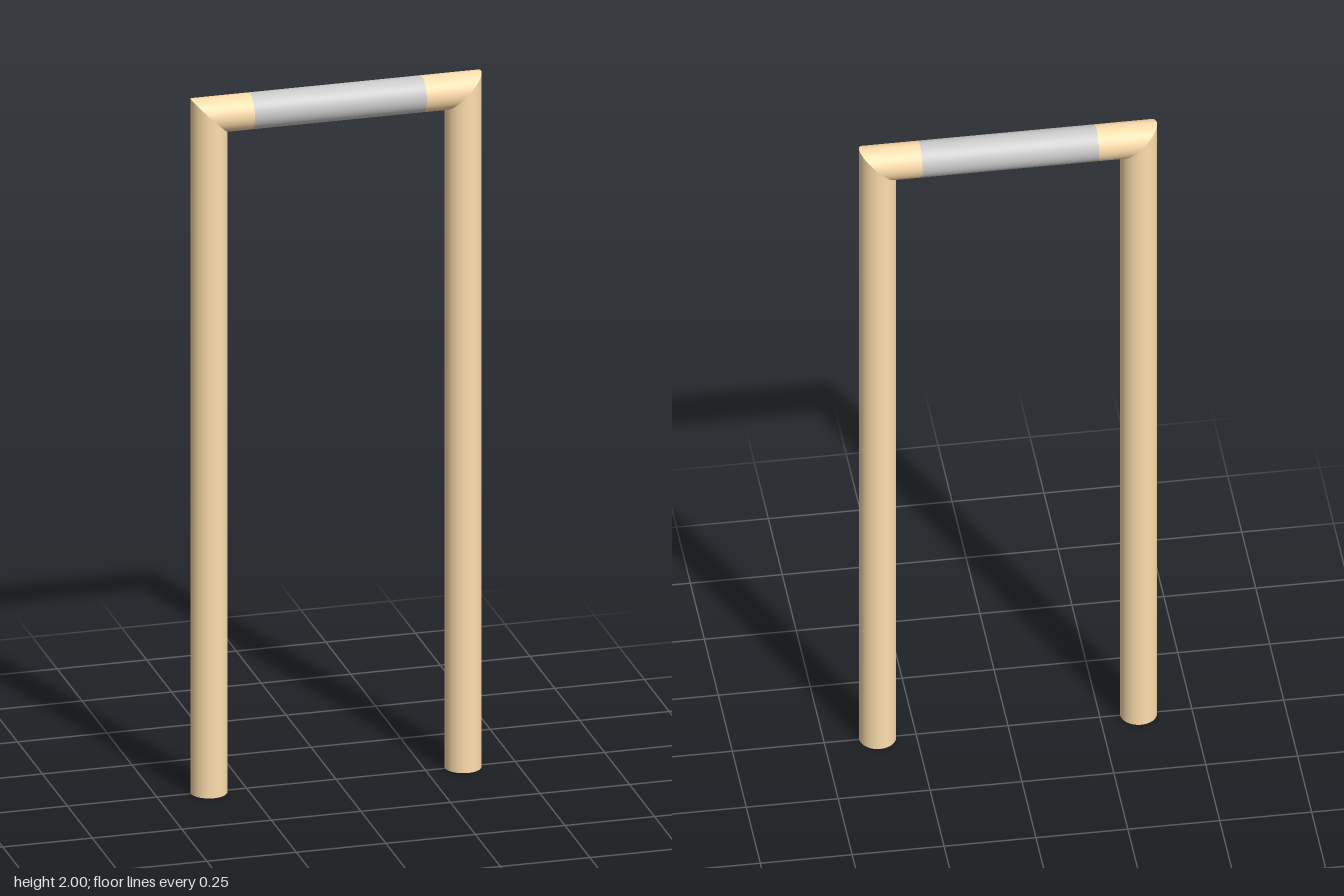
import * as THREE from 'three';

const R = 0.05;       // pipe radius
const LEG_X = 0.355;  // leg axis
const BAR_Y = 1.95;   // crossbar axis
const GRIP = 0.24;    // half length of the grey middle section
const SIDES = 48;

// Open pipe along y, from 0 to length
const pipe = (length) =>
  new THREE.CylinderGeometry(R, R, length, SIDES, 1, true).translate(0, length / 2, 0);

// Moves the far end of a pipe onto the 45 degree mitre plane
function mitre(geometry, axis, end, slope) {
  const p = geometry.attributes.position;
  for (let i = 0; i < p.count; i++) {
    if (p.getComponent(i, axis) > end - 1e-4) p.setComponent(i, axis, end + slope(p, i));
  }
  return geometry;
}

export function createModel() {
  const model = new THREE.Group();
  model.name = 'hoop';
  const wood = new THREE.MeshStandardMaterial({ color: 0xffdead });
  const grey = new THREE.MeshStandardMaterial({ color: 0xcccccc });

  const add = (parent, name, geometry, material) => {
    const mesh = new THREE.Mesh(geometry, material);
    mesh.name = name;
    parent.add(mesh);
  };

  // Each side: leg, foot disc and the short arm, mitred at the corner
  for (const side of ['left', 'right']) {
    const half = new THREE.Group();
    half.name = side + 'Side';

    const leg = pipe(BAR_Y).translate(LEG_X, 0, 0);
    add(half, side + 'Leg', mitre(leg, 1, BAR_Y, (p, i) => p.getX(i) - LEG_X), wood);

    const foot = new THREE.CircleGeometry(R, SIDES).rotateX(Math.PI / 2).translate(LEG_X, 0, 0);
    add(half, side + 'FootEnd', foot, wood);

    const arm = pipe(LEG_X - GRIP).rotateZ(-Math.PI / 2).translate(GRIP, BAR_Y, 0);
    add(half, side + 'Arm', mitre(arm, 0, LEG_X, (p, i) => p.getY(i) - BAR_Y), wood);

    if (side === 'right') half.rotation.y = Math.PI;
    model.add(half);
  }

  // Grey middle of the crossbar
  add(model, 'crossbarGrip', pipe(2 * GRIP).rotateZ(-Math.PI / 2).translate(-GRIP, BAR_Y, 0), grey);
  return model;
}
